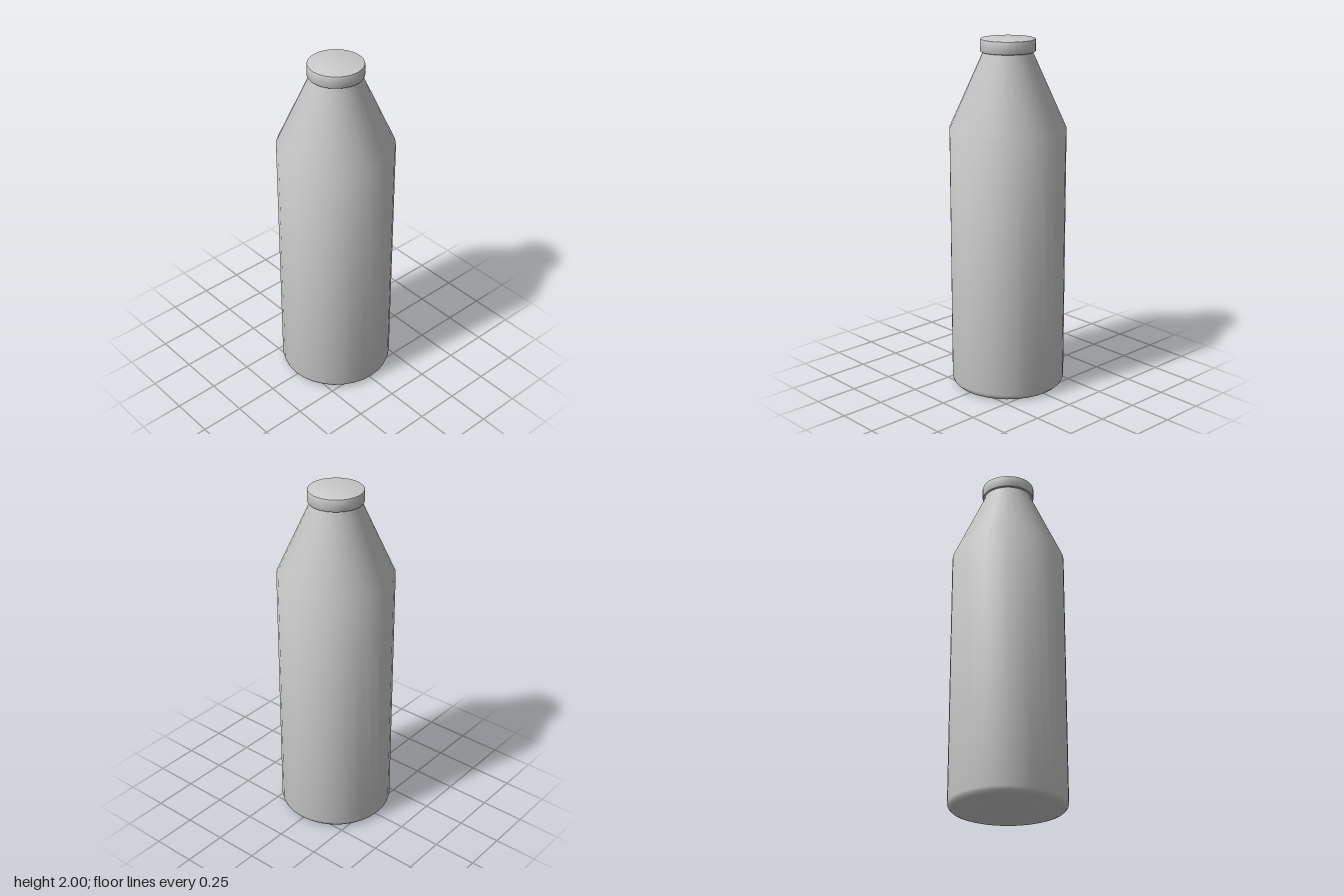
import * as THREE from 'three';
import { toCreasedNormals } from 'three/addons/utils/BufferGeometryUtils.js';

const SEGMENTS = 32;

// Turn a profile of [radius, height] pairs, listed from bottom to top.
function turned(name, profile, material) {
  const points = profile.map(([r, y]) => new THREE.Vector2(r, y));
  const geometry = toCreasedNormals(new THREE.LatheGeometry(points, SEGMENTS), 0.6);
  const mesh = new THREE.Mesh(geometry, material);
  mesh.name = name;
  return mesh;
}

export function createModel() {
  const group = new THREE.Group();
  group.name = 'bottle';
  const material = new THREE.MeshStandardMaterial({ color: 0xcccccc });

  // Straight body with a rounded foot, conical shoulder and short neck
  group.add(turned('body', [
    [0, 0], [0.29, 0], [0.307, 0.006], [0.32, 0.019], [0.325, 0.036],
    [0.325, 1.51], [0.14, 1.92], [0.14, 1.94], [0, 1.94],
  ], material));

  // Flat cap with softened rims
  group.add(turned('cap', [
    [0, 1.928], [0.145, 1.928], [0.15, 1.93], [0.153, 1.935],
    [0.153, 1.992], [0.151, 1.998], [0.146, 2], [0, 2],
  ], material));

  return group;
}
